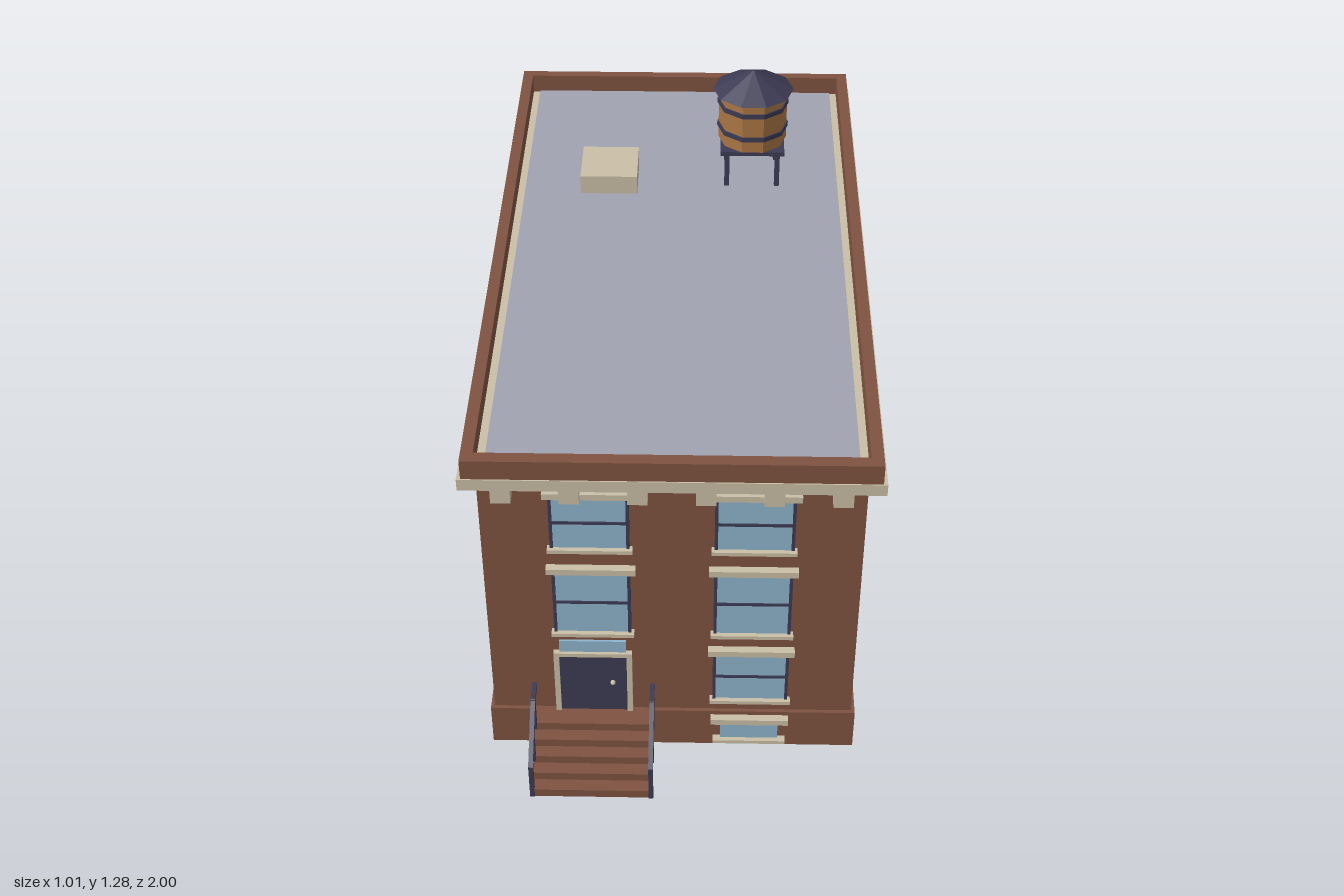
import * as THREE from 'three';

const mat = (name, color) => {
  const m = new THREE.MeshStandardMaterial({ color });
  m.name = name;
  return m;
};

export function createModel() {
  const brick = mat('brick', 0x7f5341);
  const stone = mat('stone', 0xcabfa7);
  const glass = mat('glass', 0x8fb4cd);
  const iron = mat('dark iron', 0x3d3b54);
  const roofing = mat('roofing', 0xa0a2b1);
  const wood = mat('wood', 0xaa7644);

  const model = new THREE.Group();
  model.name = 'brickBuilding';
  const add = (parent, name, geo, m, x = 0, y = 0, z = 0) => {
    const mesh = new THREE.Mesh(geo, m);
    mesh.name = name;
    mesh.position.set(x, y, z);
    parent.add(mesh);
    return mesh;
  };
  // Box given by its min and max on each axis
  const box = (parent, name, m, x0, x1, y0, y1, z0, z1) =>
    add(parent, name, new THREE.BoxGeometry(x1 - x0, y1 - y0, z1 - z0), m,
      (x0 + x1) / 2, (y0 + y1) / 2, (z0 + z1) / 2);
  const group = (parent, name, x = 0, y = 0, z = 0, ry = 0) => {
    const g = new THREE.Group();
    g.name = name;
    g.position.set(x, y, z);
    g.rotation.y = ry;
    parent.add(g);
    return g;
  };

  // Walls, plinth, cornice and roof deck
  box(model, 'plinth', brick, -0.475, 0.475, 0, 0.125, -0.97, 0.81);
  box(model, 'walls', brick, -0.465, 0.465, 0.125, 0.912, -0.96, 0.80);
  box(model, 'cornice', stone, -0.505, 0.505, 0.912, 0.945, -1.0, 0.84);
  box(model, 'roofDeck', roofing, -0.445, 0.445, 0.945, 0.949, -0.97, 0.805);
  for (const s of [-1, 1]) {
    const x = s * 0.48;
    box(model, 'sideParapet', brick, x - 0.015, x + 0.015, 0.945, 1.0, -0.998, 0.837);
  }
  box(model, 'backParapet', brick, -0.465, 0.465, 0.945, 1.0, -0.998, -0.97);
  box(model, 'frontParapet', brick, -0.465, 0.465, 0.945, 1.0, 0.805, 0.837);
  for (let i = 0; i < 6; i++) {
    const x = (i - 2.5) * 0.162;
    box(model, 'corniceBracket', stone, x - 0.024, x + 0.024, 0.87, 0.912, 0.80, 0.837);
  }
  box(model, 'roofHatch', stone, -0.285, -0.125, 0.945, 1.005, -0.55, -0.39);

  // Window on a wall whose outside faces the local +z
  function windowUnit(wall, x, y0, y1, halfWidth, sash) {
    const g = group(wall, 'window', x);
    const w = halfWidth;
    const jamb = sash ? 0.008 : 0;
    box(g, 'windowGlass', glass, -w, w, y0, y1, 0.004, 0.008);
    box(g, 'windowBacking', iron, -w, w, y0, y1, 0, 0.004);
    if (sash) {
      for (const s of [-1, 1]) {
        const c = s * (w + jamb / 2 - 0.001);
        box(g, 'windowJamb', iron, c - jamb / 2, c + jamb / 2, y0, y1, 0, 0.011);
      }
      const mid = (y0 + y1) / 2;
      box(g, 'sashBar', iron, -w, w, mid - 0.004, mid + 0.004, 0.004, 0.011);
    }
    const over = sash ? 0.02 : 0.026;
    box(g, 'lintel', stone, -w - over, w + over, y1, y1 + 0.018, 0, 0.02);
    box(g, 'sill', stone, -w - over + 0.006, w + over - 0.006, y0 - 0.011, y0, 0, 0.02);
  }

  const rows = [[0.175, 0.34], [0.415, 0.58], [0.703, 0.867]];
  const front = group(model, 'frontWall', 0, 0, 0.80);
  for (const x of [-0.2, 0.2]) {
    windowUnit(front, x, 0.415, 0.62, 0.09, true);
    windowUnit(front, x, ...rows[2], 0.09, true);
  }
  windowUnit(front, 0.2, ...rows[0], 0.09, true);
  windowUnit(group(model, 'plinthFront', 0, 0, 0.81), 0.2, 0.034, 0.095, 0.075, false);

  const back = group(model, 'backWall', 0, 0, -0.96, Math.PI);
  for (const row of rows) {
    for (const x of [-0.2, 0.2]) windowUnit(back, x, ...row, 0.09, true);
    for (const s of [-1, 1]) {
      const side = group(model, 'sideWall', s * 0.465, 0, 0, s * Math.PI / 2);
      for (const z of [0.418, -0.058, -0.535]) windowUnit(side, -s * z, ...row, 0.06, false);
    }
  }

  // Front door
  const door = group(model, 'frontDoor', -0.203, 0, 0.80);
  box(door, 'doorLeaf', iron, -0.087, 0.087, 0.125, 0.325, 0, 0.008);
  for (const s of [-1, 1]) {
    box(door, 'doorJamb', stone, s * 0.093 - 0.007, s * 0.093 + 0.007, 0.125, 0.337, 0, 0.014);
  }
  box(door, 'doorHead', stone, -0.086, 0.086, 0.325, 0.337, 0, 0.014);
  box(door, 'transom', glass, -0.085, 0.085, 0.337, 0.375, 0, 0.006);
  add(door, 'doorKnob', new THREE.SphereGeometry(0.007, 8, 6), stone, 0.05, 0.232, 0.013);

  // Front steps, each tread a full-depth block
  const stoop = group(model, 'stoop');
  for (let i = 0; i < 5; i++) {
    box(stoop, 'step', brick, -0.357, -0.05, i * 0.025, (i + 1) * 0.025, 0.80, 0.995 - i * 0.034);
  }
  // Railings of square bars
  const bar = (x, [z0, y0], [z1, y1]) => {
    const len = Math.hypot(z1 - z0, y1 - y0);
    const m = add(stoop, 'handrail', new THREE.BoxGeometry(0.012, 0.012, len + 0.008), iron,
      x, (y0 + y1) / 2, (z0 + z1) / 2);
    m.rotation.x = -Math.atan2(y1 - y0, z1 - z0);
  };
  for (const x of [-0.357, -0.052]) {
    bar(x, [0.992, 0.112], [0.86, 0.21]);
    bar(x, [0.86, 0.21], [0.80, 0.21]);
    for (const [z, y0, y1] of [[0.992, 0, 0.112], [0.926, 0.06, 0.16], [0.86, 0.11, 0.21]]) {
      box(stoop, 'railPost', iron, x - 0.006, x + 0.006, y0, y1, z - 0.006, z + 0.006);
    }
  }

  // Roof water tank, ten-sided
  const tank = group(model, 'waterTank', 0.2, 0, -0.515);
  const ring = (name, m, rTop, rBottom, y0, y1) => {
    const geo = new THREE.CylinderGeometry(rTop, rBottom, y1 - y0, 10, 1, false, Math.PI / 2)
      .toNonIndexed();
    geo.computeVertexNormals();
    add(tank, name, geo, m, 0, (y0 + y1) / 2, 0);
  };
  for (const x of [-0.071, 0.071]) for (const z of [-0.071, 0.071]) {
    box(tank, 'tankLeg', iron, x - 0.007, x + 0.007, 0.945, 1.058, z - 0.007, z + 0.007);
  }
  box(tank, 'tankPlatform', iron, -0.09, 0.09, 1.056, 1.068, -0.09, 0.09);
  ring('tankBarrel', wood, 0.096, 0.096, 1.068, 1.224);
  ring('tankHoop', iron, 0.1, 0.1, 1.104, 1.118);
  ring('tankHoop', iron, 0.1, 0.1, 1.178, 1.192);
  ring('tankRoof', iron, 0, 0.113, 1.222, 1.28);

  return model;
}
